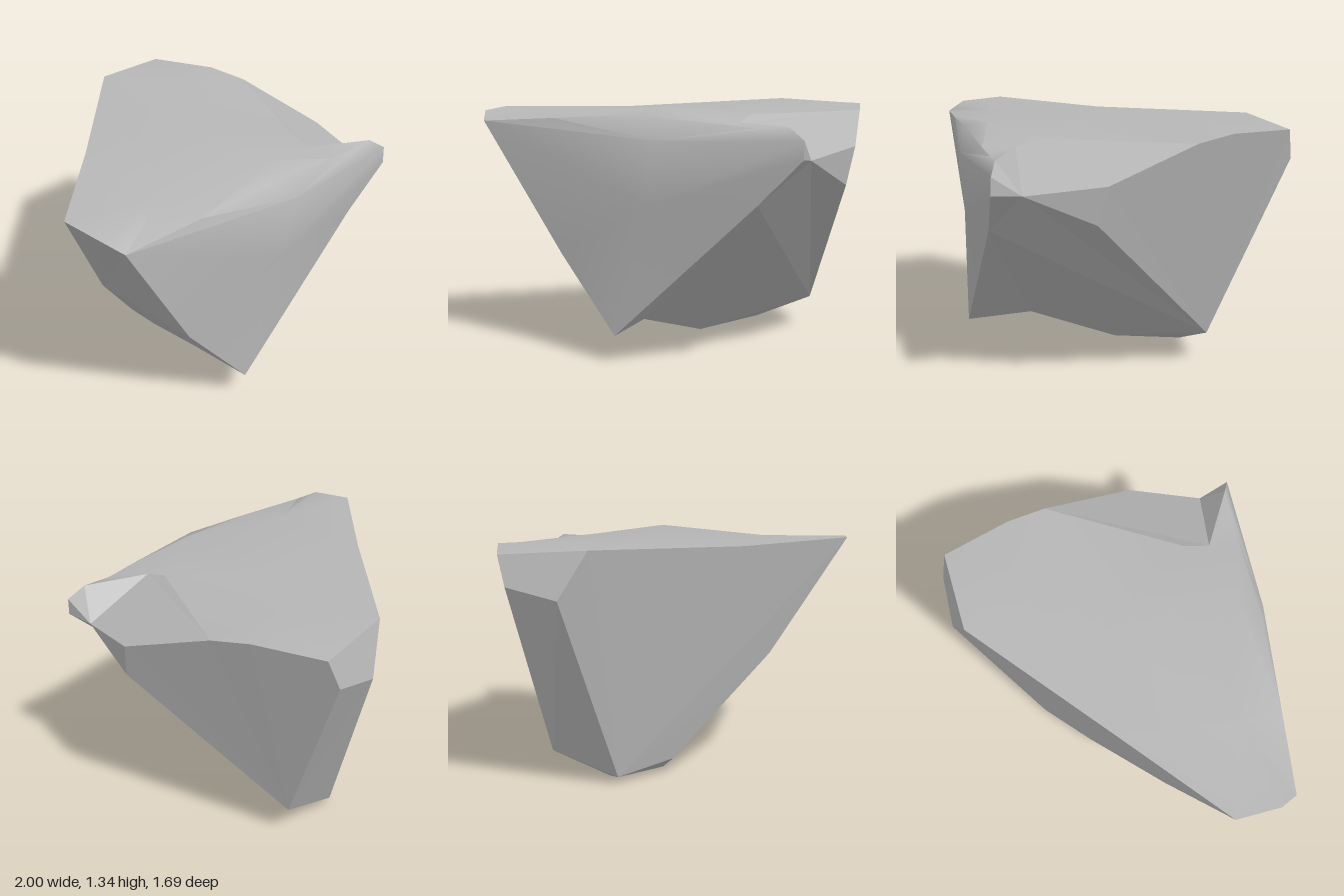
import * as THREE from 'three';
import { toCreasedNormals } from 'three/addons/utils/BufferGeometryUtils.js';

// Named corners of the stone chunk
const P = {
  // tip and underside
  frontTip: [-0.1, 0.155, 0.8], keel: [-0.13, 0.16, 0.43], bottom: [-0.02, 0.005, -0.05],
  backFoot: [0.2, 0.04, -0.38], backFootLeft: [0.15, 0.045, -0.41], sideFoot: [-0.105, 0.095, -0.155],
  heel: [0.52, 0.18, -0.43],
  // -x flank
  flankFront: [-0.46, 0.55, 0.735], flankBack: [-0.595, 0.66, 0.2],
  cornerFront: [-0.91, 1.25, 0.785], cornerMid: [-0.97, 1.3, 0.69], cornerBack: [-1, 1.315, 0.45],
  rimBack: [-0.48, 1.305, -0.06],
  // back chip
  chipA: [0.2, 1.34, -0.75], chipB: [0.66, 1.315, -0.81], chipC: [0.61, 1.155, -0.845], chipD: [0.34, 1.09, -0.83],
  // +x flank and notch
  rimO: [0.8, 1.33, -0.45], rimR: [0.865, 1.3, -0.24], bulgeR: [1, 1.14, 0.25], lowR: [0.97, 0.945, 0.295],
  notchA: [0.52, 1.3, 0.47], notchB: [0.52, 1.265, 0.61], notchC: [0.91, 1.095, 0.645],
  spikeLow: [0.93, 1.11, 0.8], spikeTop: [0.93, 1.2, 0.795], spikeBack: [0.84, 1.26, 0.76], edgeR: [0.69, 0.88, 0.78],
  // front ridge and shallow bulges
  r1: [-0.45, 1.275, 0.8], r2: [0.02, 1.3, 0.8], r3: [0.5, 1.265, 0.775], r4: [0.68, 1.25, 0.76],
  topMid: [0.1, 1.305, 0], topBack: [0.46, 1.345, -0.35], topFront: [0.16, 1.34, 0.69], topLeft: [-0.5, 1.305, 0.55],
  brow: [0.16, 1.18, 0.845], faceMid: [0.1, 0.85, 0.825],
};

const CENTRE = new THREE.Vector3(0.1, 0.8, 0.1);

// Fan each polygon from its first corner, turning every triangle outwards
function facets(polygons) {
  const out = [];
  const n = new THREE.Vector3();
  for (const polygon of polygons) {
    const v = polygon.split(' ').map((k) => new THREE.Vector3(...P[k]));
    for (let i = 1; i < v.length - 1; i++) {
      const [a, b, c] = [v[0], v[i], v[i + 1]];
      n.crossVectors(b.clone().sub(a), c.clone().sub(a));
      const tri = n.dot(a.clone().sub(CENTRE)) < 0 ? [a, c, b] : [a, b, c];
      for (const p of tri) out.push(p.x, p.y, p.z);
    }
  }
  const g = new THREE.BufferGeometry();
  g.setAttribute('position', new THREE.Float32BufferAttribute(out, 3));
  g.computeVertexNormals();
  return g;
}

export function createModel() {
  const group = new THREE.Group();
  group.name = 'stoneFragment';
  const stone = new THREE.MeshStandardMaterial({ color: 0xb6b6b6, side: THREE.DoubleSide });
  stone.name = 'greyStone';
  const add = (name, geometry) => {
    const mesh = new THREE.Mesh(geometry, stone);
    mesh.name = name;
    group.add(mesh);
  };

  // Flat broken faces
  add('rightBreak', facets([
    'heel lowR bulgeR rimR rimO chipB chipC', 'heel notchC lowR', 'heel edgeR notchC',
    'edgeR spikeLow notchC', 'lowR notchC bulgeR',
  ]));
  add('notch', facets([
    'notchB notchC bulgeR rimR notchA', 'spikeLow spikeTop notchC',
    'spikeTop spikeBack notchC', 'spikeBack notchB notchC',
  ]));
  add('underside', facets([
    'edgeR frontTip keel', 'edgeR keel heel', 'keel bottom heel', 'bottom backFoot heel',
    'bottom sideFoot backFootLeft backFoot', 'keel sideFoot bottom',
  ]));
  add('backBreak', facets([
    'heel chipC chipD backFootLeft backFoot',
    'backFootLeft chipD chipA rimBack cornerBack flankBack sideFoot',
    'chipA chipB chipC chipD',
  ]));
  add('leftBreak', facets([
    'flankBack cornerBack cornerMid cornerFront flankFront',
    'keel sideFoot flankBack flankFront frontTip',
  ]));

  // Smooth worn top and front
  add('wornSurface', toCreasedNormals(facets([
    'topLeft r1 cornerFront cornerMid cornerBack rimBack topMid topFront r1',
    'topMid rimBack chipA topBack', 'topBack chipA chipB rimO rimR topMid',
    'topMid rimR notchA topFront', 'topFront notchA notchB r3 r2 r1', 'notchB spikeBack r4 r3',
    'brow cornerFront r1 r2 r3 r4 spikeBack spikeTop',
    'faceMid brow cornerFront flankFront frontTip edgeR spikeLow spikeTop brow',
  ]), 1.0));
  return group;
}
